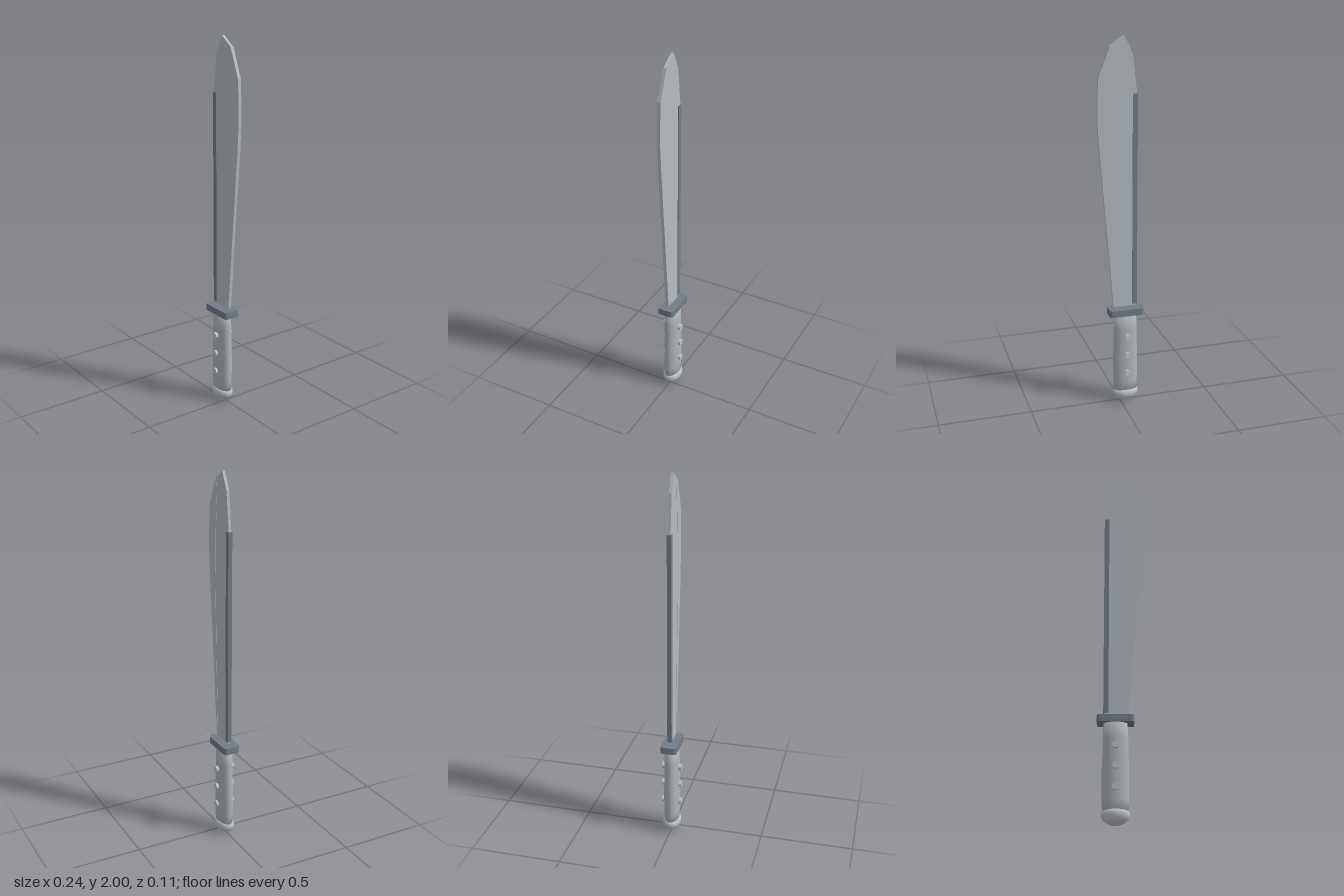
import * as THREE from 'three';

const mat = (name, color) => {
  const m = new THREE.MeshStandardMaterial({ color });
  m.name = name;
  return m;
};

export function createModel() {
  const steel = mat('blade steel', 0xb4bbc0);
  const dark = mat('dark steel', 0x737d86);
  const grip = mat('grip grey', 0xb0b5b8);
  const bright = mat('polished metal', 0xbfc3c6);

  const model = new THREE.Group();
  model.name = 'machete';
  const add = (name, geometry, material, x = 0, y = 0, z = 0) => {
    const mesh = new THREE.Mesh(geometry, material);
    mesh.name = name;
    mesh.position.set(x, y, z);
    model.add(mesh);
    return mesh;
  };
  const plate = (points, thick) => {
    const shape = new THREE.Shape(points.map(([x, y]) => new THREE.Vector2(x, y)));
    return new THREE.ExtrudeGeometry(shape, { depth: thick, bevelEnabled: false })
      .translate(0, 0, -thick / 2);
  };
  const axisX = -0.031; // centre line of the hilt

  // Blade: flat plate, with a slightly thicker cutting edge
  const belly = [[0.035, 0.562], [0.072, 1.0], [0.108, 1.42], [0.118, 1.57], [0.117, 1.68],
    [0.111, 1.80], [0.052, 1.95]];
  add('blade', plate([[-0.09, 0.562], ...belly, [-0.022, 2.0], [-0.066, 1.91], [-0.09, 1.71]], 0.015), steel);
  add('cuttingEdge', plate([...belly.map(([x, y]) => [x + 0.001, y]),
    [0.03, 1.92], [0.045, 1.7], [0.05, 1.4], [0.04, 1.0], [0.025, 0.562]], 0.018), steel);

  // Reinforcing strip along the spine
  add('spine', new THREE.BoxGeometry(0.026, 1.14, 0.022), dark, -0.08, 1.14, 0);

  // Guard: rounded slab lying flat
  const w = 0.094, d = 0.045, r = 0.018;
  const slab = new THREE.Shape();
  slab.moveTo(-w + r, -d);
  slab.lineTo(w - r, -d);
  slab.quadraticCurveTo(w, -d, w, -d + r);
  slab.lineTo(w, d - r);
  slab.quadraticCurveTo(w, d, w - r, d);
  slab.lineTo(-w + r, d);
  slab.quadraticCurveTo(-w, d, -w, d - r);
  slab.lineTo(-w, -d + r);
  slab.quadraticCurveTo(-w, -d, -w + r, -d);
  const guard = new THREE.ExtrudeGeometry(slab, { depth: 0.037, bevelEnabled: false, curveSegments: 6 });
  guard.rotateX(-Math.PI / 2);
  add('guard', guard, dark, axisX, 0.515, 0);

  // Grip: gently swelling oval section
  const lathe = (profile) => new THREE.LatheGeometry(profile.map(([x, y]) => new THREE.Vector2(x, y)), 32);
  const handle = lathe([[0, 0.05], [0.064, 0.05], [0.066, 0.12], [0.068, 0.2], [0.067, 0.28],
    [0.064, 0.36], [0.064, 0.43], [0.060, 0.516], [0, 0.516]]);
  add('grip', handle, grip, axisX).scale.z = 0.62;

  // Pommel: flattened knob with a rounded underside
  const pommel = lathe([[0, 0], [0.025, 0.003], [0.047, 0.013], [0.063, 0.027], [0.070, 0.043],
    [0.070, 0.056], [0.066, 0.067], [0.056, 0.074], [0, 0.076]]);
  add('pommel', pommel, bright, axisX).scale.z = 0.7;

  // Rivets through the grip
  for (const y of [0.18, 0.287, 0.393]) {
    add('rivet', new THREE.CylinderGeometry(0.017, 0.017, 0.108, 16).rotateX(Math.PI / 2), bright, axisX, y, 0);
  }
  return model;
}
